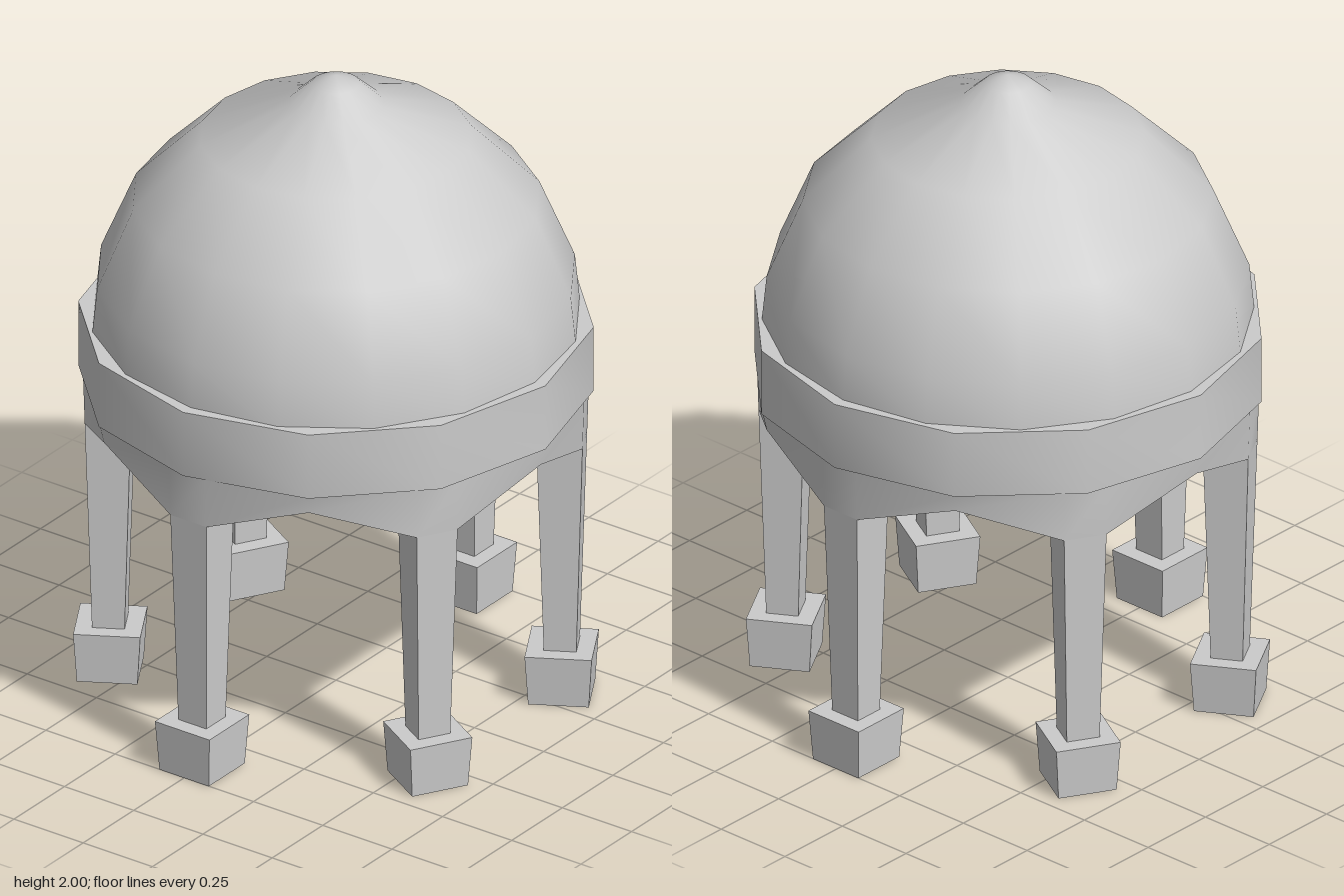
import * as THREE from 'three';
import { toCreasedNormals } from 'three/addons/utils/BufferGeometryUtils.js';

const SIDES = 6;
const STEP = (Math.PI * 2) / SIDES;

function lathe(profile, segments, crease) {
  const points = profile.map(([r, y]) => new THREE.Vector2(r, y));
  return toCreasedNormals(new THREE.LatheGeometry(points, segments), crease);
}

// Leg shaft: a box narrowing towards its lower end
function legGeometry() {
  const y0 = 0.14, y1 = 0.84;
  const geo = new THREE.BoxGeometry(0.135, y1 - y0, 0.13);
  const pos = geo.attributes.position;
  for (let i = 0; i < pos.count; i++) {
    if (pos.getY(i) < 0) {
      pos.setX(i, pos.getX(i) * 0.7);
      pos.setZ(i, pos.getZ(i) * 0.77);
    }
  }
  geo.translate(0, (y0 + y1) / 2, 0);
  return toCreasedNormals(geo, 0.3);
}

// One loop of the skirt: two corners at each leg, one point at each arch peak
function skirtLoop(legR, peakR, legY, peakY) {
  const loop = [];
  const half = 0.065;
  for (let k = 0; k < SIDES; k++) {
    const a = k * STEP;
    for (const t of [-half, half]) {
      loop.push([legR * Math.cos(a) - t * Math.sin(a), legY, -legR * Math.sin(a) - t * Math.cos(a)]);
    }
    const m = a + STEP / 2;
    loop.push([peakR * Math.cos(m), peakY, -peakR * Math.sin(m)]);
  }
  return loop;
}

function skirtGeometry() {
  const loops = [
    skirtLoop(0.735, 0.752, 1, 1),
    skirtLoop(0.73, 0.74, 0.84, 0.945),
    skirtLoop(0.595, 0.61, 0.84, 0.945),
    skirtLoop(0.595, 0.61, 1, 1),
  ];
  const verts = [];
  const n = loops[0].length;
  for (let j = 0; j < loops.length - 1; j++) {
    for (let i = 0; i < n; i++) {
      const k = (i + 1) % n;
      const a = loops[j + 1][i], b = loops[j + 1][k], c = loops[j][k], d = loops[j][i];
      verts.push(...a, ...b, ...c, ...a, ...c, ...d);
    }
  }
  const geo = new THREE.BufferGeometry();
  geo.setAttribute('position', new THREE.Float32BufferAttribute(verts, 3));
  return toCreasedNormals(geo, 0.6);
}

export function createModel() {
  const model = new THREE.Group();
  model.name = 'domedPavilion';
  const material = new THREE.MeshStandardMaterial({ color: 0xcccccc });
  const openMaterial = new THREE.MeshStandardMaterial({ color: 0xcccccc, side: THREE.DoubleSide });

  function add(parent, name, geometry, mat = material) {
    const mesh = new THREE.Mesh(geometry, mat);
    mesh.name = name;
    parent.add(mesh);
    return mesh;
  }

  // Dome with its small pointed cap
  add(model, 'dome', lathe([
    [0.72, 1.2], [0.705, 1.35], [0.6, 1.6], [0.4, 1.8],
    [0.14, 1.91], [0.07, 1.975], [0, 2],
  ], 16, 0.9));

  // Twelve-sided band under the dome; its underside is the ceiling
  add(model, 'band', lathe([[0, 1], [0.756, 1], [0.756, 1.21], [0.66, 1.21]], 12, 0.7));

  // Arched skirt joining the tops of the legs
  add(model, 'archedSkirt', skirtGeometry());

  // Legs on block feet; the feet are hollow underneath
  const legGeo = legGeometry();
  const footTop = new THREE.PlaneGeometry(0.197, 0.197).rotateX(-Math.PI / 2).translate(0, 0.16, 0);
  const footWalls = toCreasedNormals(
    new THREE.CylinderGeometry(0.197 / Math.SQRT2, 0.178 / Math.SQRT2, 0.16, 4, 1, true)
      .rotateY(Math.PI / 4).translate(0, 0.08, 0), 0.3);
  for (let k = 0; k < SIDES; k++) {
    const support = new THREE.Group();
    support.name = 'support' + (k + 1);
    support.rotation.y = k * STEP;
    add(support, 'leg', legGeo).position.x = 0.6625;
    add(support, 'footWalls', footWalls, openMaterial).position.x = 0.662;
    add(support, 'footTop', footTop, openMaterial).position.x = 0.662;
    model.add(support);
  }
  return model;
}
